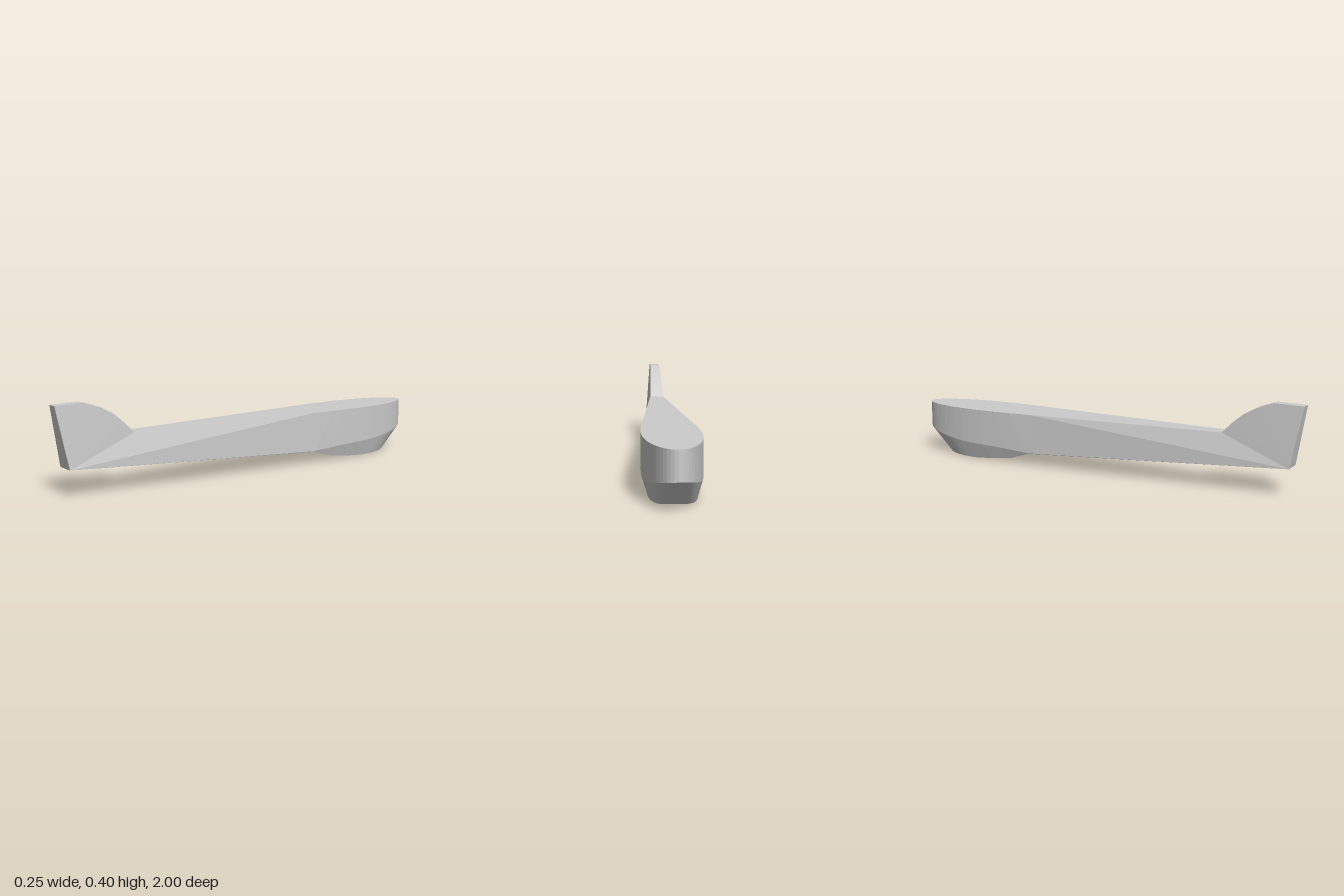
import * as THREE from 'three';

const material = new THREE.MeshStandardMaterial({ color: 0xcccccc, flatShading: true, side: THREE.DoubleSide });

// A station holds the top, middle and bottom edge points [half width, y, z];
// mirroring them gives a closed six-point ring.
function ringOf(station) {
  const left = station.map(([w, y, z]) => new THREE.Vector3(w, y, z));
  const right = station.map(([w, y, z]) => new THREE.Vector3(-w, y, z)).reverse();
  return [...left, ...right];
}

// Skins consecutive stations, running from the back (-z) to the front (+z).
function loft(name, stations, capFront = false) {
  const positions = [];
  const triangle = (...points) => {
    if (new THREE.Triangle(...points).getArea() < 1e-8) return;
    points.forEach((p) => positions.push(p.x, p.y, p.z));
  };
  const rings = stations.map(ringOf);
  for (let i = 0; i < rings.length - 1; i++) {
    for (let j = 0; j < 6; j++) {
      const k = (j + 1) % 6;
      const a = rings[i][j], b = rings[i][k], c = rings[i + 1][j], d = rings[i + 1][k];
      // diagonals mirror between the left and right sides
      if (j < 3) {
        triangle(a, c, d);
        triangle(a, d, b);
      } else {
        triangle(a, c, b);
        triangle(b, c, d);
      }
    }
  }
  if (capFront) {
    const end = rings[rings.length - 1];
    triangle(end[0], end[5], end[3]);
    triangle(end[0], end[3], end[2]);
  }
  const geometry = new THREE.BufferGeometry();
  geometry.setAttribute('position', new THREE.Float32BufferAttribute(positions, 3));
  geometry.computeVertexNormals();
  const mesh = new THREE.Mesh(geometry, material);
  mesh.name = name;
  return mesh;
}

export function createModel() {
  const group = new THREE.Group();
  group.name = 'paddleWithTailFin';

  // Rounded end: elliptical wall above a smaller, lower base
  const bowl = [];
  const steps = 14;
  for (let i = 0; i <= steps; i++) {
    const t = (Math.PI / 2) * (1 - i / steps);
    const s = Math.sin(t), c = i === 0 ? 0 : Math.cos(t);
    const z = -0.6 - 0.4 * s;
    bowl.push([
      [0.127 * c, 0.25, z],
      [0.127 * c, 0.078 + 0.047 * s * s, z],
      [0.102 * Math.pow(c, 0.8), 0.012 * s ** 4, -0.65 - 0.22 * s],
    ]);
  }
  bowl.push([[0.126, 0.25, -0.52], [0.125, 0.074, -0.52], [0.105, 0.008, -0.55]]);
  const neck = [[0.121, 0.25, -0.44], [0.121, 0.069, -0.44], [0.105, 0.02, -0.45]];
  const shoulder = [[0.112, 0.25, -0.33], [0.116, 0.06, -0.33], [0.115, 0.058, -0.33]];
  bowl.push(neck, shoulder);
  group.add(loft('bowl', bowl));

  // Long tapering stem; its lower front corner is shared with the fin
  const corner = [0.045, 0.124, 0.95];
  const finStation = (top) => [top, corner, corner];
  const finRoot = finStation([0.035, 0.25, 0.635]);
  group.add(loft('stem', [shoulder, finRoot]));

  // Upright fin with a curved back edge and a slanted front face
  const fin = [
    [0.032, 0.3, 0.685],
    [0.029, 0.342, 0.735],
    [0.027, 0.372, 0.79],
    [0.025, 0.39, 0.84],
    [0.024, 0.399, 0.87],
    [0.023, 0.396, 1],
  ].map(finStation);
  group.add(loft('tailFin', [finRoot, ...fin], true));

  return group;
}
